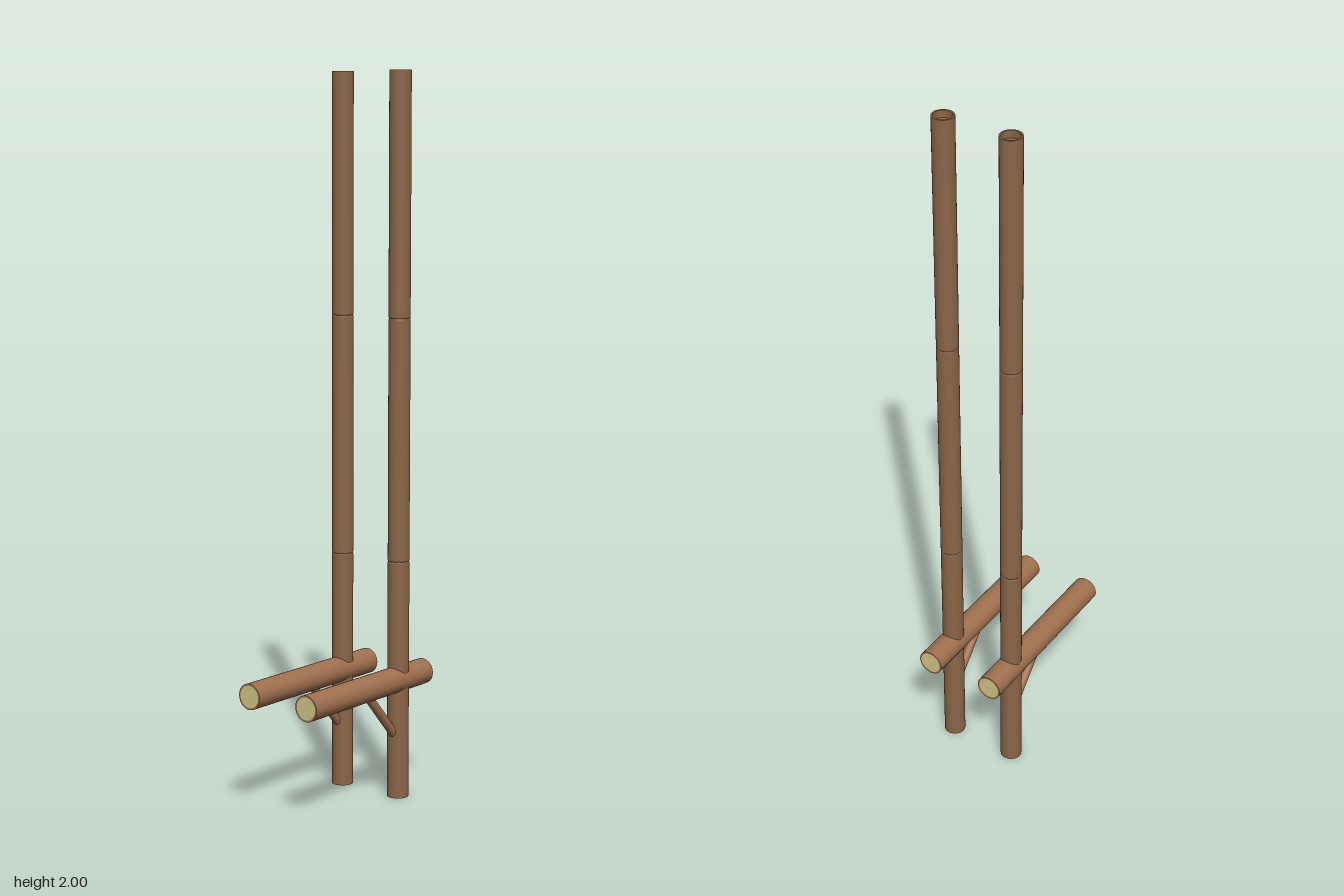
import * as THREE from 'three';

const poleMat = new THREE.MeshStandardMaterial({ color: 0x8b6647 });
const stepMat = new THREE.MeshStandardMaterial({ color: 0xa07050 });
const pithMat = new THREE.MeshStandardMaterial({ color: 0xd2c688 });

const POLE_X = 0.098, POLE_Z = -0.145, STEP_Y = 0.335;

function add(group, name, geometry, material) {
  const mesh = new THREE.Mesh(geometry, material);
  mesh.name = name;
  group.add(mesh);
  return mesh;
}

// Lathe made of separate strips, so every profile corner stays crisp
function addTurned(group, name, points, material) {
  for (let i = 0; i < points.length - 1; i++) {
    const pair = [points[i], points[i + 1]].map(([r, y]) => new THREE.Vector2(r, y));
    add(group, name, new THREE.LatheGeometry(pair, 32), material);
  }
}

// Cylinder running between two points
function addRod(group, name, from, to, radius, material) {
  const dir = to.clone().sub(from);
  const rod = add(group, name, new THREE.CylinderGeometry(radius, radius, dir.length(), 20), material);
  rod.position.copy(from).add(to).multiplyScalar(0.5);
  rod.quaternion.setFromUnitVectors(new THREE.Vector3(0, 1, 0), dir.normalize());
}

function createStilt(side) {
  const stilt = new THREE.Group();
  stilt.name = side > 0 ? 'leftStilt' : 'rightStilt';
  stilt.position.x = side * POLE_X;

  // Bamboo pole: hollow ends and a fine groove at each node
  const pole = new THREE.Group();
  pole.name = 'pole';
  pole.position.z = POLE_Z;
  const R = 0.03, inner = 0.025;
  const profile = [[0, 0.02], [inner, 0.02], [inner, 0], [R, 0]];
  for (const y of [0.669, 1.337]) {
    profile.push([R, y - 0.003], [R - 0.0015, y], [R, y + 0.003]);
  }
  profile.push([R, 2], [inner, 2], [inner, 1.98], [0, 1.98]);
  addTurned(pole, 'poleShell', profile, poleMat);
  stilt.add(pole);

  // Foot rest lying front to back through the pole, with pale cut ends
  const step = new THREE.Group();
  step.name = 'footRest';
  step.position.y = STEP_Y;
  step.rotation.x = Math.PI / 2;
  const r = 0.036, half = 0.26;
  addTurned(step, 'footRestShell', [[0.031, -half], [r, -half], [r, half], [0.031, half]], stepMat);
  addTurned(step, 'footRestFrontEnd', [[0.031, half], [0, half]], pithMat);
  addTurned(step, 'footRestBackEnd', [[0, -half], [0.031, -half]], pithMat);
  stilt.add(step);

  // Diagonal brace from the pole up to the foot rest
  addRod(stilt, 'brace', new THREE.Vector3(0, 0.181, -0.127), new THREE.Vector3(0, 0.318, -0.002), 0.0125, stepMat);
  return stilt;
}

export function createModel() {
  const model = new THREE.Group();
  model.name = 'bambooStilts';
  for (const side of [-1, 1]) model.add(createStilt(side));
  return model;
}
